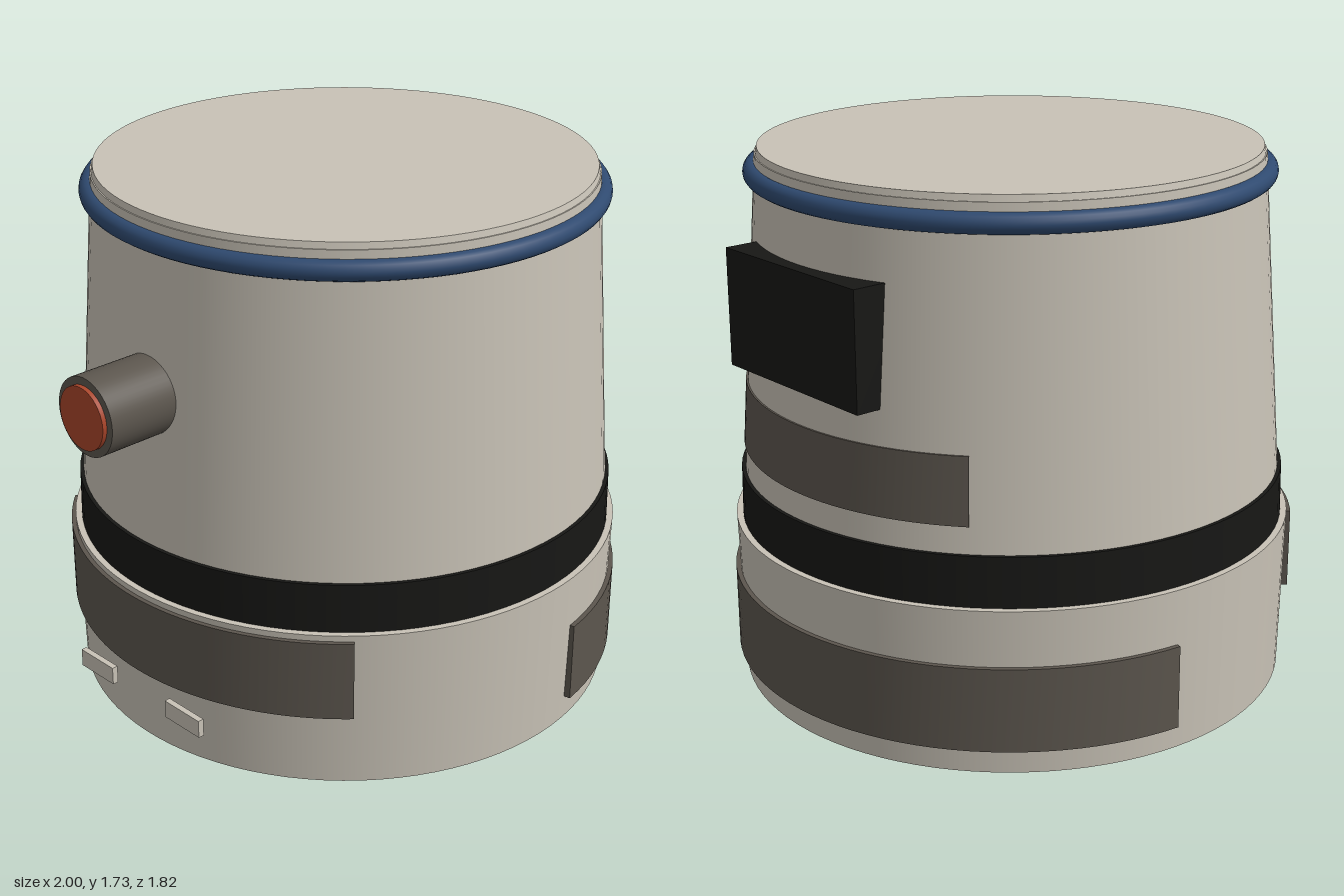
import * as THREE from 'three';

const mat = (color) => new THREE.MeshStandardMaterial({ color, roughness: 0.7 });

export function createModel() {
  const model = new THREE.Group();
  const shell = mat(0xc8c2b6), black = mat(0x171715), grey = mat(0x5c564e);
  const blue = mat(0x2f4a70), orange = mat(0xa8452a);

  // The drum axis sits slightly off centre to balance the pipe
  const drum = new THREE.Group();
  drum.name = 'drum';
  drum.position.x = 0.08;
  model.add(drum);

  const add = (name, geometry, material, x = 0, y = 0, z = 0) => {
    const mesh = new THREE.Mesh(geometry, material);
    mesh.name = name;
    mesh.position.set(x, y, z);
    drum.add(mesh);
    return mesh;
  };

  // Upright round section from y0 to y1
  const section = (name, material, r0, r1, y0, y1) =>
    add(name, new THREE.CylinderGeometry(r1, r0, y1 - y0, 96), material, 0, (y0 + y1) / 2, 0);

  // Curved plate: a box bent round the axis, facing +x (or -x when flipped)
  const plate = (name, y0, y1, r0, r1, halfDegrees, flip = false) => {
    const half = THREE.MathUtils.degToRad(halfDegrees);
    const depth = 0.03;
    const geometry = new THREE.BoxGeometry(depth, y1 - y0, 2 * half, 1, 1, 48);
    const p = geometry.attributes.position;
    for (let i = 0; i < p.count; i++) {
      const t = (p.getY(i) + (y1 - y0) / 2) / (y1 - y0);
      const r = THREE.MathUtils.lerp(r0, r1, t) + p.getX(i) - depth / 2;
      const a = p.getZ(i) + (flip ? Math.PI : 0);
      p.setXYZ(i, r * Math.cos(a), p.getY(i), r * Math.sin(a));
    }
    geometry.computeVertexNormals();
    add(name, geometry, grey, 0, (y0 + y1) / 2, 0);
  };

  // Stacked housing
  section('base', shell, 0.894, 0.906, 0, 0.53);
  section('darkBand', black, 0.885, 0.882, 0.53, 0.69);
  section('upperBody', shell, 0.87, 0.803, 0.69, 1.65);
  section('lidRim', shell, 0.803, 0.799, 1.65, 1.71);
  section('lid', shell, 0.795, 0.79, 1.71, 1.73);

  // Seal ring below the lid
  const seal = add('sealRing', new THREE.TorusGeometry(0.804, 0.032, 16, 96), blue, 0, 1.652, 0);
  seal.rotation.x = Math.PI / 2;

  // Curved plates
  plate('lowerPlate', 0.08, 0.35, 0.917, 0.917, 82);
  plate('upperPlate', 0.775, 0.985, 0.87, 0.855, 40.7);
  plate('rearPlate', 0.245, 0.51, 0.92, 0.92, 47, true);

  // Control box
  add('controlBox', new THREE.BoxGeometry(0.2, 0.37, 0.64), black, 0.76, 1.28, 0);

  // Side pipe with its coloured end
  const pipe = add('pipe', new THREE.CylinderGeometry(0.125, 0.125, 0.36, 48), grey, -0.885, 1.175, 0);
  const pipeEnd = add('pipeEnd', new THREE.CylinderGeometry(0.1, 0.1, 0.04, 48), orange, -1.06, 1.175, 0);
  pipe.rotation.z = pipeEnd.rotation.z = Math.PI / 2;

  // Pair of small tabs under the rear plate
  for (const side of [-1, 1]) {
    add('tab', new THREE.BoxGeometry(0.02, 0.06, 0.16), shell, -0.91, 0.16, side * 0.21);
  }

  return model;
}
